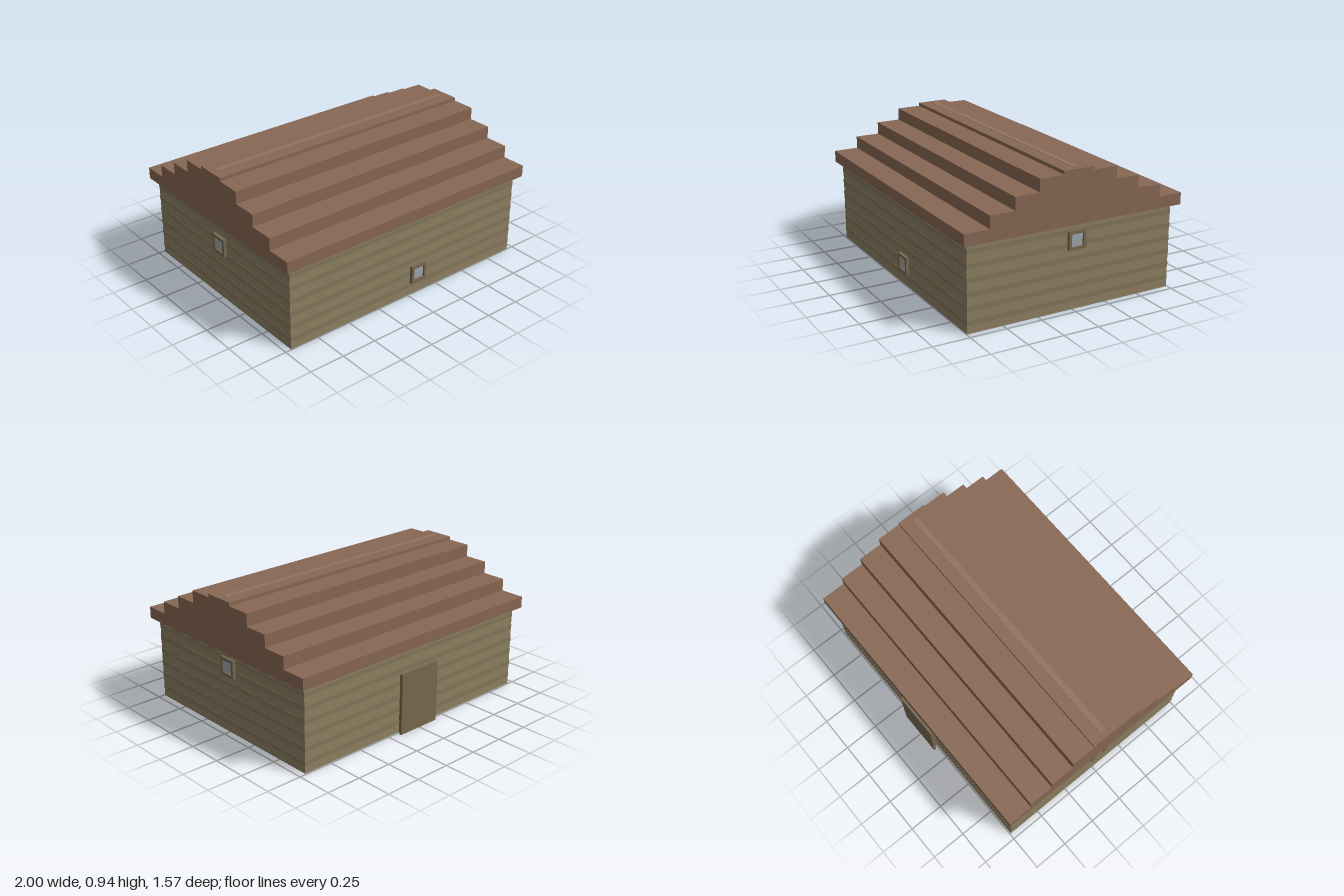
import * as THREE from 'three';

const mat = (color) => new THREE.MeshStandardMaterial({ color, flatShading: true });
const wallMat = mat(0x8d7f61);
const bandMat = mat(0x83765a);
const roofMat = mat(0x876753);
const ridgeMat = mat(0x92715d);
const trimMat = mat(0x76684f);
const glassMat = mat(0x9ca6ac);

function add(parent, name, geometry, material, x = 0, y = 0, z = 0) {
  const mesh = new THREE.Mesh(geometry, material);
  mesh.name = name;
  mesh.position.set(x, y, z);
  parent.add(mesh);
  return mesh;
}

// Box given by its lower and upper corners
function box(parent, name, material, [x0, y0, z0], [x1, y1, z1]) {
  return add(parent, name, new THREE.BoxGeometry(x1 - x0, y1 - y0, z1 - z0), material,
    (x0 + x1) / 2, (y0 + y1) / 2, (z0 + z1) / 2);
}

// Square frame with a recessed pane, facing +z before it is turned
function makeWindow(name, depth) {
  const group = new THREE.Group();
  group.name = name;
  const outer = 0.063, inner = 0.043;
  const shape = new THREE.Shape([[-1, -1], [1, -1], [1, 1], [-1, 1]]
    .map(([x, y]) => new THREE.Vector2(x * outer, y * outer)));
  shape.holes.push(new THREE.Path([[-1, -1], [-1, 1], [1, 1], [1, -1]]
    .map(([x, y]) => new THREE.Vector2(x * inner, y * inner))));
  add(group, 'windowFrame', new THREE.ExtrudeGeometry(shape, { depth, bevelEnabled: false }), trimMat);
  add(group, 'windowGlass', new THREE.BoxGeometry(inner * 2, inner * 2, 0.01), glassMat, 0, 0, 0.005);
  return group;
}

export function createModel() {
  const model = new THREE.Group();
  model.name = 'cabin';

  // Walls with faint horizontal cladding bands
  const west = -0.957, east = 0.953, back = -0.742, front = 0.746, eaves = 0.58;
  box(model, 'walls', wallMat, [west, 0, back], [east, eaves, front]);
  const proud = 0.0015;
  for (let i = 0; i < 6; i++) {
    const y = 0.055 + i * 0.091;
    box(model, 'claddingBand', bandMat,
      [west - proud, y, back - proud], [east + proud, y + 0.032, front + proud]);
  }

  // Stepped roof: half profile mirrored, then extruded along x
  const steps = [[0.787, 0.66], [0.615, 0.745], [0.445, 0.83], [0.276, 0.915], [0.107, 0.938]];
  const half = [[0.787, eaves]];
  steps.forEach(([z, y], i) => {
    half.push([z, y]);
    if (i < steps.length - 1) half.push([steps[i + 1][0], y]);
  });
  const outline = [...half, ...half.map(([z, y]) => [-z, y]).reverse()];
  const roofGeo = new THREE.ExtrudeGeometry(
    new THREE.Shape(outline.map(([z, y]) => new THREE.Vector2(z, y))),
    { depth: 2, bevelEnabled: false });
  roofGeo.translate(0, 0, -1).rotateY(Math.PI / 2);
  add(model, 'steppedRoof', roofGeo, roofMat);
  box(model, 'ridgeStrip', ridgeMat, [west, 0.93, -0.02], [east, 0.94, 0.02]);

  // Windows on the front and both ends
  const frontWindow = makeWindow('frontWindow', 0.022);
  frontWindow.position.set(0.083, 0.153, front);
  const leftWindow = makeWindow('leftWindow', 0.022);
  leftWindow.position.set(east, 0.468, -0.019);
  leftWindow.rotation.y = Math.PI / 2;
  const rightWindow = makeWindow('rightWindow', 0.022);
  rightWindow.position.set(west, 0.408, 0.01);
  rightWindow.rotation.y = -Math.PI / 2;
  model.add(frontWindow, leftWindow, rightWindow);

  // Back door: backing slab and a slightly larger panel
  box(model, 'doorBacking', trimMat, [-0.136, 0, -0.768], [0.147, 0.405, back]);
  box(model, 'doorPanel', trimMat, [-0.157, 0, -0.785], [0.168, 0.427, -0.768]);

  return model;
}
